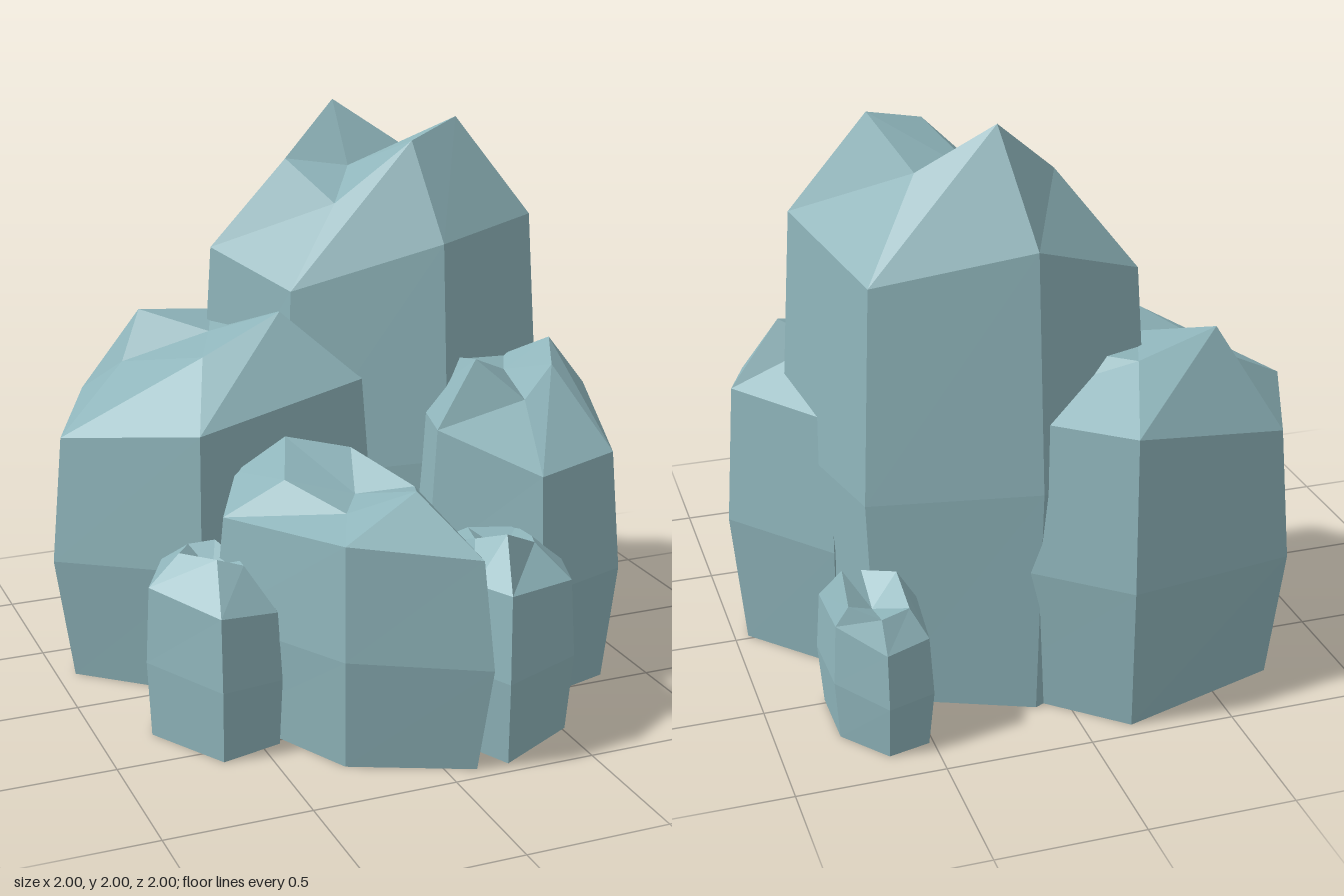
import * as THREE from 'three';

const stone = new THREE.MeshStandardMaterial({ color: 0x8fb5bb, flatShading: true });
stone.name = 'pale teal stone';

// A faceted six-sided rock column. Corners run clockwise seen from above:
// [outline x, outline z, shoulder y, crown x, crown y, crown z].
// "dip" is the point in the middle of the crown.
function makeRock(name, corners, dip, foot = 0.9, shoulder = 0.9) {
  const n = corners.length;
  const cx = corners.reduce((s, c) => s + c[0], 0) / n;
  const cz = corners.reduce((s, c) => s + c[1], 0) / n;
  const ring = (k, heightOf) => corners.map((c) =>
    [cx + (c[0] - cx) * k, heightOf(c), cz + (c[1] - cz) * k]);

  const rings = [
    ring(foot, () => 0),
    ring(1, (c) => c[2] * 0.5),
    ring(shoulder, (c) => c[2]),
    corners.map((c) => c.slice(3)),
  ];

  const pos = [];
  const tri = (a, b, c) => pos.push(...a, ...b, ...c);
  for (let i = 0; i < n; i++) {
    const j = (i + 1) % n;
    for (let r = 0; r < rings.length - 1; r++) {
      const lo = rings[r], hi = rings[r + 1];
      tri(lo[j], lo[i], hi[i]);
      tri(lo[j], hi[i], hi[j]);
    }
    tri(rings[3][j], rings[3][i], dip);          // crown
    tri(rings[0][i], rings[0][j], [cx, 0, cz]);  // underside
  }
  const geo = new THREE.BufferGeometry();
  geo.setAttribute('position', new THREE.Float32BufferAttribute(pos, 3));
  geo.computeVertexNormals();
  const mesh = new THREE.Mesh(geo, stone);
  mesh.name = name;
  return mesh;
}

export function createModel() {
  const group = new THREE.Group();
  group.name = 'rockCluster';

  group.add(makeRock('tallRock', [
    [0.10, -0.78, 1.64, 0.18, 2.00, -0.53],
    [0.64, -0.55, 1.50, 0.42, 1.83, -0.42],
    [0.80, -0.03, 1.62, 0.51, 1.97, -0.17],
    [0.36, 0.13, 1.57, 0.30, 1.91, -0.08],
    [-0.15, -0.17, 1.38, 0.06, 1.68, -0.21],
    [-0.34, -0.57, 1.48, -0.04, 1.81, -0.44],
  ], [0.18, 1.78, -0.38], 0.92, 0.92));

  group.add(makeRock('broadBackRock', [
    [-0.14, -1.00, 1.06, -0.25, 1.21, -0.69],
    [0.33, -0.58, 1.05, -0.05, 1.22, -0.55],
    [0.12, 0.01, 1.08, -0.16, 1.31, -0.19],
    [-0.57, 0.12, 0.97, -0.46, 1.18, -0.16],
    [-1.00, -0.26, 0.91, -0.66, 1.10, -0.49],
    [-0.77, -0.80, 0.93, -0.56, 1.26, -0.60],
  ], [-0.35, 1.20, -0.42], 0.9, 0.93));

  group.add(makeRock('frontSideRock', [
    [0.70, -0.33, 0.95, 0.64, 1.12, 0.00],
    [1.00, 0.00, 0.98, 0.78, 1.19, 0.08],
    [0.87, 0.49, 0.86, 0.72, 1.13, 0.22],
    [0.51, 0.60, 0.84, 0.57, 1.04, 0.31],
    [0.21, 0.30, 0.96, 0.42, 1.18, 0.22],
    [0.30, -0.08, 0.96, 0.42, 1.15, 0.08],
  ], [0.58, 1.10, 0.12], 0.88, 0.91));

  group.add(makeRock('frontRock', [
    [-0.44, 0.02, 0.82, -0.28, 0.97, 0.18],
    [0.03, 0.05, 0.78, -0.07, 0.93, 0.26],
    [0.20, 0.56, 0.70, 0.05, 0.86, 0.53],
    [0.13, 1.00, 0.74, -0.01, 0.90, 0.68],
    [-0.31, 0.80, 0.78, -0.22, 0.82, 0.59],
    [-0.57, 0.25, 0.74, -0.35, 0.88, 0.36],
  ], [-0.12, 0.82, 0.42], 0.9, 0.92));

  group.add(makeRock('smallFrontRock', [
    [0.18, 0.38, 0.60, 0.28, 0.66, 0.47],
    [0.42, 0.30, 0.58, 0.45, 0.65, 0.50],
    [0.62, 0.55, 0.53, 0.47, 0.64, 0.58],
    [0.53, 0.80, 0.55, 0.44, 0.65, 0.66],
    [0.20, 0.98, 0.60, 0.28, 0.74, 0.77],
    [0.13, 0.83, 0.60, 0.21, 0.70, 0.67],
  ], [0.34, 0.62, 0.62], 0.9, 0.93));

  group.add(makeRock('smallSideRock', [
    [-0.69, 0.00, 0.52, -0.63, 0.62, 0.16],
    [-0.50, 0.02, 0.52, -0.54, 0.63, 0.18],
    [-0.40, 0.28, 0.50, -0.50, 0.60, 0.29],
    [-0.43, 0.54, 0.48, -0.52, 0.62, 0.42],
    [-0.66, 0.60, 0.51, -0.61, 0.65, 0.41],
    [-0.83, 0.30, 0.54, -0.70, 0.64, 0.28],
  ], [-0.59, 0.56, 0.30], 0.95, 0.94));

  group.add(makeRock('smallBackRock', [
    [0.50, -0.86, 0.40, 0.56, 0.49, -0.79],
    [0.66, -0.90, 0.38, 0.66, 0.48, -0.82],
    [0.80, -0.72, 0.42, 0.75, 0.50, -0.74],
    [0.80, -0.46, 0.41, 0.73, 0.54, -0.57],
    [0.66, -0.42, 0.42, 0.66, 0.52, -0.55],
    [0.48, -0.62, 0.43, 0.56, 0.54, -0.63],
  ], [0.66, 0.45, -0.69], 0.9, 0.93));

  return group;
}
